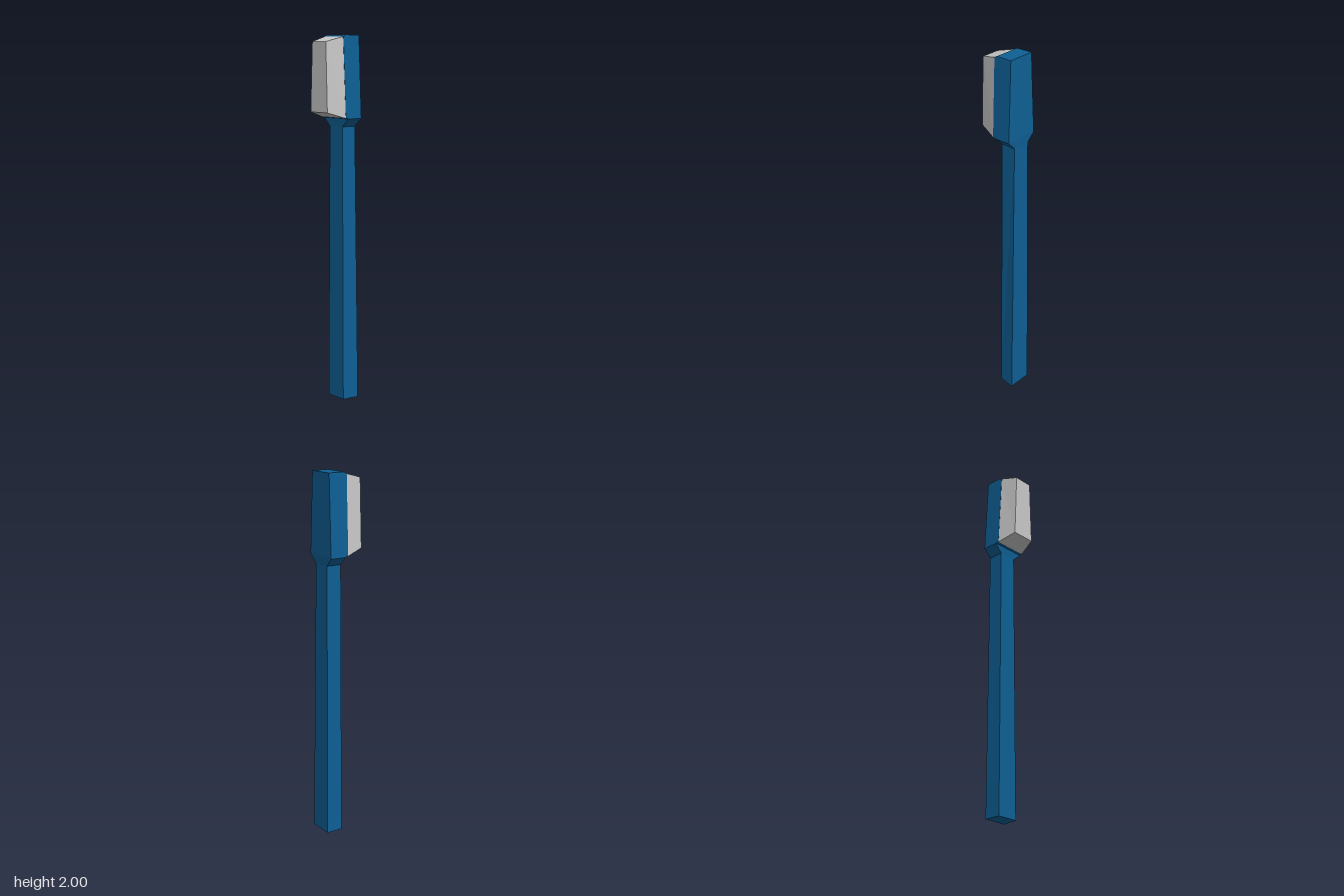
import * as THREE from 'three';

// Skin a series of four-cornered cross-sections and close both ends.
// Corners run anticlockwise when looking back along the loft direction.
function loft(loops) {
  const pos = [];
  const quad = (a, b, c, d) => pos.push(...a, ...b, ...c, ...a, ...c, ...d);
  for (let i = 0; i < loops.length - 1; i++) {
    const lo = loops[i], hi = loops[i + 1];
    for (let k = 0; k < 4; k++) {
      const n = (k + 1) % 4;
      quad(lo[k], lo[n], hi[n], hi[k]);
    }
  }
  const first = loops[0], last = loops[loops.length - 1];
  quad(first[3], first[2], first[1], first[0]);
  quad(...last);
  const geo = new THREE.BufferGeometry();
  geo.setAttribute('position', new THREE.Float32BufferAttribute(pos, 3));
  geo.computeVertexNormals();
  return geo;
}

// Horizontal section: front-left, front-right, back-right, back-left
const level = (y, frontL, frontR, backL, backR, zFront, zBack) => [
  [frontL, y, zFront], [frontR, y, zFront], [backR, y, zBack], [backL, y, zBack],
];

// Upright section facing the front: tapered from bottom to top
const upright = (z, y0, y1, l0, r0, l1, r1) => [
  [l0, y0, z], [r0, y0, z], [r1, y1, z], [l1, y1, z],
];

export function createModel() {
  const blue = new THREE.MeshStandardMaterial({ color: 0x0e5f94, flatShading: true });
  blue.name = 'blue plastic';
  const grey = new THREE.MeshStandardMaterial({ color: 0xc8c8c8, flatShading: true });
  grey.name = 'pale grey bristle';

  const group = new THREE.Group();
  group.name = 'toothbrush';
  const add = (name, geo, mat) => {
    const mesh = new THREE.Mesh(geo, mat);
    mesh.name = name;
    group.add(mesh);
  };

  // Slender handle flaring through the neck into the head
  add('handleAndHead', loft([
    level(0, -0.066, 0.058, -0.066, 0.074, -0.013, -0.107),
    level(1.515, -0.056, 0.047, -0.056, 0.05, -0.014, -0.1),
    level(1.56, -0.1, 0.097, -0.1, 0.098, -0.012, -0.103),
    level(1.57, -0.098, 0.096, -0.099, 0.098, 0.005, -0.103),
    level(1.99, -0.078, 0.079, -0.078, 0.081, 0.008, -0.1),
    level(2, -0.076, 0.078, -0.077, 0.08, -0.007, -0.1),
  ]), blue);

  // Bristle block, tapering towards the front
  add('bristles', loft([
    upright(0.004, 1.563, 1.992, -0.098, 0.096, -0.077, 0.078),
    upright(0.107, 1.595, 1.965, -0.072, 0.065, -0.057, 0.053),
  ]), grey);

  return group;
}
